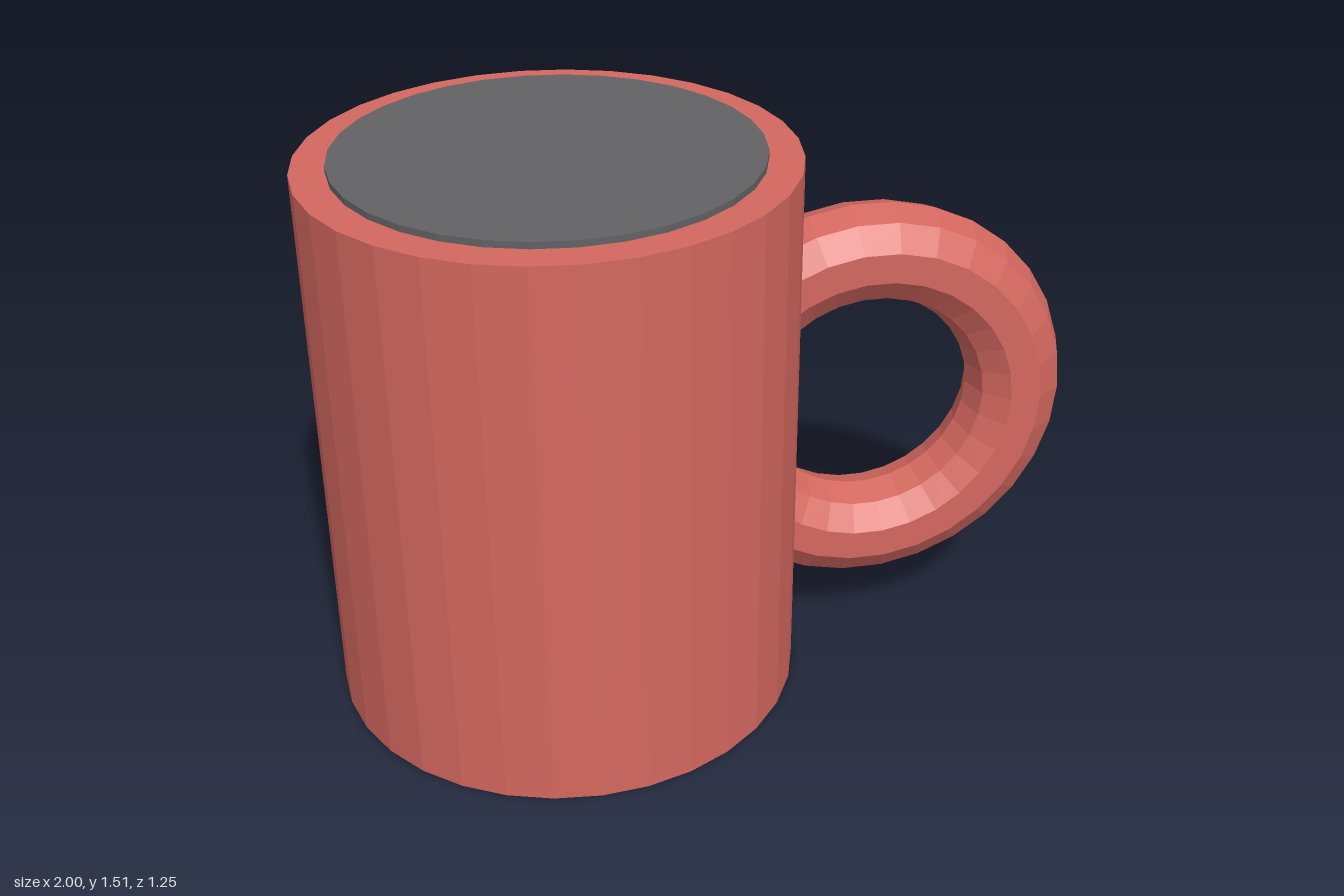
import * as THREE from 'three';

export function createModel() {
  const model = new THREE.Group();
  model.name = 'mug';

  const red = new THREE.MeshStandardMaterial({ color: 0xd4685f, flatShading: true });
  red.name = 'red glaze';
  const grey = new THREE.MeshStandardMaterial({ color: 0x626266, flatShading: true });
  grey.name = 'dark grey';

  const add = (name, geometry, material, x, y) => {
    const mesh = new THREE.Mesh(geometry, material);
    mesh.name = name;
    mesh.position.set(x, y, 0);
    model.add(mesh);
  };

  const cupX = -0.375, cupHeight = 1.49, topThickness = 0.017;

  // Faceted cup body
  add('cupBody', new THREE.CylinderGeometry(0.625, 0.625, cupHeight, 32), red, cupX, cupHeight / 2);

  // Dark disc lying just above the rim
  add('drinkSurface', new THREE.CylinderGeometry(0.537, 0.537, topThickness, 32), grey,
    cupX, cupHeight + topThickness / 2);

  // Ring handle, its inner side sunk into the cup
  add('handle', new THREE.TorusGeometry(0.42, 0.131, 10, 30), red, 0.447, 0.749);

  return model;
}
